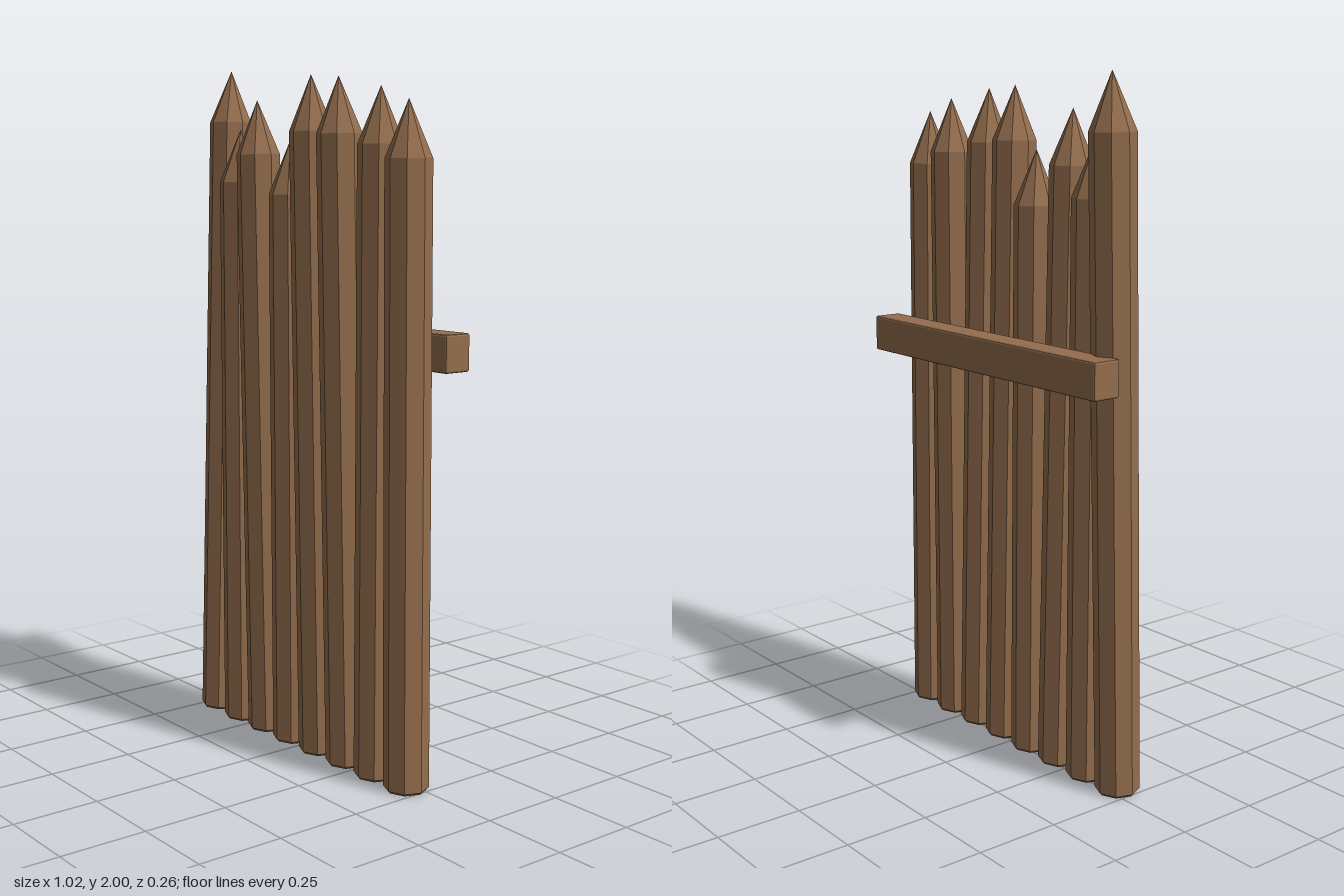
import * as THREE from 'three';
import { RoundedBoxGeometry } from 'three/addons/geometries/RoundedBoxGeometry.js';

const RADIUS = 0.064;
const SPACING = 0.128;
const TIP = 0.155;
const BASE_Z = 0.028;

// [height of the point, z of the point] for each log, from -x to +x
const LOGS = [
  [2.0, -0.028], [1.82, 0.03], [1.9, 0.061], [1.785, 0.037],
  [1.96, 0.062], [1.95, 0.067], [1.92, 0.024], [1.88, 0.038],
];

// Eight-sided log with a chamfered foot and a sharpened top
function logGeometry(length) {
  const profile = [
    [0, 0], [RADIUS - 0.006, 0], [RADIUS, 0.007], [RADIUS, length - TIP], [0, length],
  ].map(([r, y]) => new THREE.Vector2(r, y));
  return new THREE.LatheGeometry(profile, 8);
}

export function createModel() {
  const model = new THREE.Group();
  model.name = 'palisade';

  const wood = new THREE.MeshStandardMaterial({ color: 0x946e4e, flatShading: true });
  wood.name = 'brown wood';

  // Row of logs, each leaning a little forward or back
  LOGS.forEach(([height, tipZ], i) => {
    const lean = Math.atan2(tipZ - BASE_Z, height);
    const lift = (RADIUS - 0.006) * Math.abs(Math.sin(lean));
    const log = new THREE.Mesh(logGeometry((height - lift) / Math.cos(lean)), wood);
    log.name = `log${i + 1}`;
    log.position.set((i - (LOGS.length - 1) / 2) * SPACING, lift, BASE_Z);
    log.rotation.x = lean;
    model.add(log);
  });

  // Cross rail along the back
  const rail = new THREE.Mesh(new RoundedBoxGeometry(1.024, 0.105, 0.087, 1, 0.006), wood);
  rail.name = 'backRail';
  rail.position.set(0, 1.21, -0.0885);
  model.add(rail);

  return model;
}
